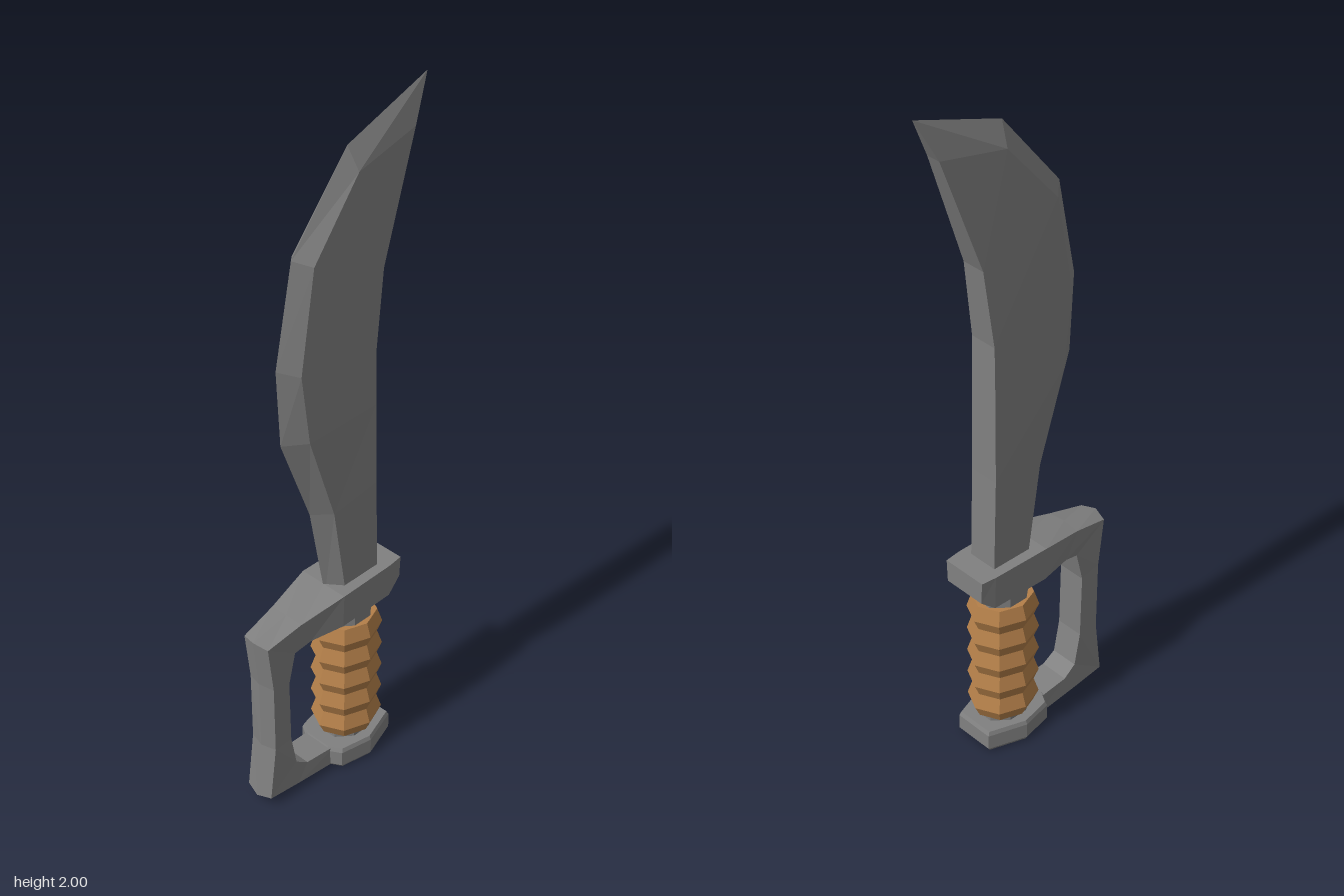
import * as THREE from 'three';

const steel = new THREE.MeshStandardMaterial({ color: 0x808080, flatShading: true });
steel.name = 'steel grey';
const leather = new THREE.MeshStandardMaterial({ color: 0xb37f49, flatShading: true });
leather.name = 'tan leather';

const GRIP_X = 0.037;

// Skins a list of equal-length rings, caps both ends, and turns the faces outward
function loft(rings) {
  const tris = [];
  const add = (a, b, c) => {
    const area = b.clone().sub(a).cross(c.clone().sub(a)).length();
    if (area > 1e-8) tris.push([a, b, c]);
  };
  const n = rings[0].length;
  for (let i = 0; i < rings.length - 1; i++) {
    for (let j = 0; j < n; j++) {
      const k = (j + 1) % n;
      const [a, b, c, d] = [rings[i][j], rings[i][k], rings[i + 1][k], rings[i + 1][j]];
      add(a, b, c);
      add(a, c, d);
    }
  }
  const first = rings[0], last = rings[rings.length - 1];
  for (let j = 1; j < n - 1; j++) {
    add(first[0], first[j + 1], first[j]);
    add(last[0], last[j], last[j + 1]);
  }
  const volume = tris.reduce((s, [a, b, c]) => s + a.dot(b.clone().cross(c)), 0);
  if (volume < 0) tris.forEach((t) => t.reverse());
  const geometry = new THREE.BufferGeometry().setFromPoints(tris.flat());
  geometry.computeVertexNormals();
  return geometry;
}

function part(name, geometry, material) {
  const mesh = new THREE.Mesh(geometry, material);
  mesh.name = name;
  return mesh;
}

const v = (x, y, z) => new THREE.Vector3(x, y, z);

// Curved blade: cutting edge, bevel line and flat spine at each station
function blade() {
  // edge x, y | bevel x, y, half thickness | spine x, y, half thickness
  const stations = [
    [-0.045, 0.58, -0.01, 0.58, 0.045, 0.11, 0.58, 0.045],
    [-0.1, 0.88, -0.055, 0.88, 0.045, 0.102, 0.9, 0.045],
    [-0.2, 1.15, -0.14, 1.15, 0.044, 0.1, 1.15, 0.043],
    [-0.212, 1.38, -0.165, 1.36, 0.042, 0.1, 1.31, 0.041],
    [-0.155, 1.67, -0.115, 1.65, 0.038, 0.13, 1.54, 0.035],
    [0.035, 1.905, 0.045, 1.84, 0.03, 0.25, 1.88, 0.021],
    [0.31, 2, 0.31, 2, 0, 0.31, 2, 0],
  ];
  return loft(stations.map(([ex, ey, bx, by, bz, sx, sy, sz]) => [
    v(ex, ey, 0), v(bx, by, bz), v(sx, sy, sz), v(sx, sy, -sz), v(bx, by, -bz),
  ]));
}

// Crossguard and knuckle bow: one bar swept round the hand opening
function handGuard() {
  // outer x, y | inner x, y | half depth | outer ridge height
  const stations = [
    [0.175, 0.62, 0.175, 0.553, 0.069, 0],
    [0.13, 0.62, 0.13, 0.515, 0.074, 0],
    [-0.05, 0.62, -0.05, 0.515, 0.077, 0],
    [-0.19, 0.597, -0.15, 0.512, 0.054, 0.005],
    [-0.312, 0.575, -0.2, 0.495, 0.044, 0.014],
    [-0.294, 0.42, -0.223, 0.4, 0.044, 0.012],
    [-0.292, 0.2, -0.219, 0.2, 0.044, 0.012],
    [-0.312, 0.024, -0.2, 0.1, 0.044, 0.014],
    [-0.2, 0.015, -0.16, 0.072, 0.046, 0.006],
    [-0.05, 0.008, -0.05, 0.064, 0.05, 0],
  ];
  return loft(stations.map(([ox, oy, ix, iy, h, ridge]) => {
    const outer = v(ox, oy, 0), inner = v(ix, iy, 0);
    const step = inner.clone().sub(outer).setLength(ridge);
    const shoulder = outer.clone().add(step);
    return [
      outer, v(shoulder.x, shoulder.y, h), v(ix, iy, h * 0.95),
      v(ix, iy, -h * 0.95), v(shoulder.x, shoulder.y, -h),
    ];
  }));
}

// Faceted end cap, slightly narrower underneath
function pommel() {
  const half = [[0.148, 0.06], [0.037, 0.097], [-0.058, 0.078], [-0.08, 0.04]];
  const outline = [...half, ...half.map(([x, z]) => [x, -z]).reverse()];
  const ring = (y, s) => outline.map(([x, z]) => v(GRIP_X + (x - GRIP_X) * s, y, z * s));
  return loft([ring(0, 0.92), ring(0.012, 1), ring(0.058, 1), ring(0.07, 0.95)]);
}

// Eight-sided handle wrapped in five bulging bands
function grip() {
  const bands = 5, bottom = 0.085, height = 0.078;
  const profile = [new THREE.Vector2(0, bottom), new THREE.Vector2(0.088, bottom)];
  for (let i = 0; i < bands; i++) {
    const y = bottom + i * height;
    profile.push(new THREE.Vector2(0.105, y + height * 0.45));
    profile.push(new THREE.Vector2(0.09, y + height));
  }
  profile.push(new THREE.Vector2(0, bottom + bands * height));
  return new THREE.LatheGeometry(profile, 8).scale(1, 1, 0.87).translate(GRIP_X, 0, 0);
}

export function createModel() {
  const model = new THREE.Group();
  model.name = 'sword';

  // Metal core showing as a collar above and below the grip
  const core = new THREE.CylinderGeometry(0.078, 0.078, 0.48, 8, 1, false, Math.PI / 8)
    .scale(1, 1, 0.85).translate(GRIP_X, 0.3, 0);

  model.add(
    part('blade', blade(), steel),
    part('handGuard', handGuard(), steel),
    part('pommel', pommel(), steel),
    part('handleCore', core, steel),
    part('grip', grip(), leather),
  );
  return model;
}
